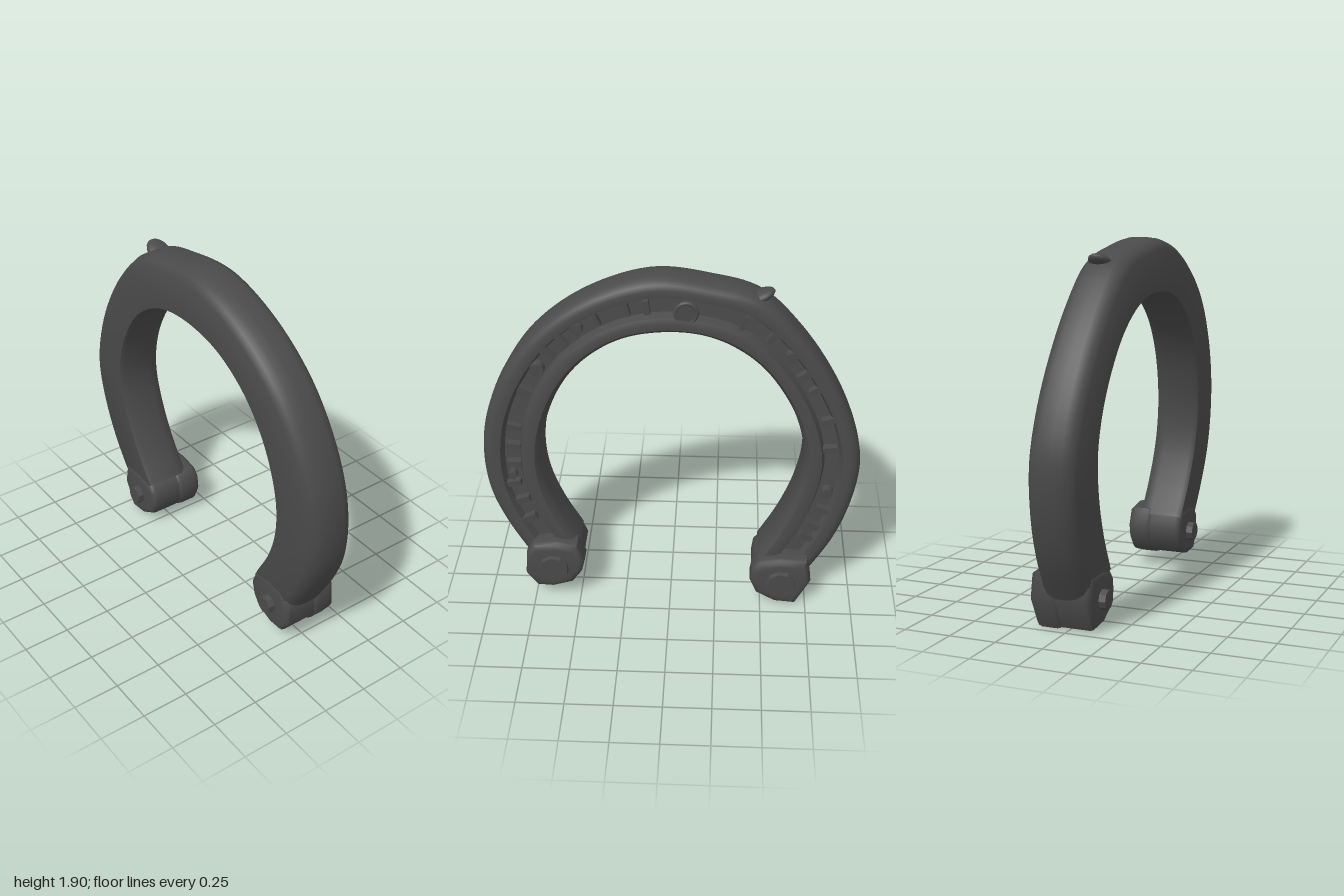
import * as THREE from 'three';
import { toCreasedNormals } from 'three/addons/utils/BufferGeometryUtils.js';

const iron = new THREE.MeshStandardMaterial({ color: 0x4a4a4a });
iron.name = 'dark iron';

// the shoe leans slightly: x of its mid-plane at height y
const leanX = (y) => 0.005 - 0.05 * y;

// matching [z, y] points along the outer and inner edges
const OUTER = [[.74, .17], [.9, .45], [.98, .66], [1, .87], [.97, 1.1], [.87, 1.35], [.7, 1.59], [.43, 1.79], [.1, 1.9],
  [-.2, 1.87], [-.45, 1.8], [-.66, 1.6], [-.85, 1.32], [-.96, 1.07], [-1, .87], [-.97, .62], [-.89, .39], [-.74, .13]];
const INNER = [[.5, .32], [.6, .5], [.67, .69], [.69, .87], [.665, 1.05], [.585, 1.26], [.45, 1.44], [.26, 1.565], [.05, 1.61],
  [-.15, 1.6], [-.31, 1.54], [-.47, 1.42], [-.61, 1.22], [-.68, 1.04], [-.7, .87], [-.66, .66], [-.58, .46], [-.48, .28]];

// cross-section: [fraction from outer to inner edge, x offset], with a groove on the +x face
const PROFILE = [[.2, -.125], [.08, -.1], [.02, -.06], [0, -.01], [0, .06], [.03, .09], [.09, .11], [.18, .12], [.31, .115],
  [.37, .075], [.63, .075], [.68, .12], [.78, .13], [.9, .125], [.97, .1], [1, .06], [1, -.1], [.95, -.125]];

function mesh(name, geometry) {
  const m = new THREE.Mesh(geometry, iron);
  m.name = name;
  return m;
}

function shoeGeometry(steps = 120) {
  const curve = (pts) => new THREE.CatmullRomCurve3(pts.map(([z, y]) => new THREE.Vector3(0, y, z)));
  const outer = curve(OUTER), inner = curve(INNER);
  const pos = [], index = [], n = PROFILE.length;
  for (let i = 0; i <= steps; i++) {
    const a = outer.getPoint(i / steps), b = inner.getPoint(i / steps);
    for (const [f, x] of PROFILE) {
      const p = a.clone().lerp(b, f);
      pos.push(leanX(p.y) + x, p.y, p.z);
    }
    if (i === steps) break;
    for (let j = 0; j < n; j++) {
      const p = i * n + j, q = i * n + (j + 1) % n;
      index.push(p, q, p + n, q, q + n, p + n);
    }
  }
  const g = new THREE.BufferGeometry();
  g.setAttribute('position', new THREE.Float32BufferAttribute(pos, 3));
  g.setIndex(index);
  return toCreasedNormals(g, 0.7);
}

// bevelled prism along x from a [z, y] outline, scaled about its centre
function prism(outline, centre, scale, x0, x1, bevel) {
  const [cz, cy] = centre;
  const shape = new THREE.Shape(outline.map(([z, y]) =>
    new THREE.Vector2(-(cz + (z - cz) * scale), cy + (y - cy) * scale)));
  const g = new THREE.ExtrudeGeometry(shape, {
    depth: x1 - x0 - 2 * bevel, bevelThickness: bevel, bevelSize: bevel, bevelOffset: -bevel, bevelSegments: 3,
  });
  g.rotateY(Math.PI / 2).translate(x0 + bevel, 0, 0);
  return toCreasedNormals(g, 0.85);
}

// short rounded disc facing along x
function disc(r, x0, x1, z, y, sides = 20) {
  const g = new THREE.CylinderGeometry(r * 0.9, r, x1 - x0, sides);
  g.rotateZ(-Math.PI / 2).translate((x0 + x1) / 2, y, z);
  return toCreasedNormals(g, 0.6);
}

// heavy nut-shaped end with a bolt through it
function endNut(name, outline, centre, topX) {
  const group = new THREE.Group();
  group.name = name;
  const [z, y] = centre;
  group.add(mesh('nutBody', prism(outline, centre, 0.95, -0.14, 0.12, 0.03)));
  group.add(mesh('nutFlange', prism(outline, centre, 1, 0.03, topX, 0.035)));
  group.add(mesh('boltHead', disc(0.088, topX - 0.02, topX + 0.025, z, y, 9)));
  const tail = disc(0.055, 0.12, 0.175, -z, y, 9);
  tail.rotateY(Math.PI);
  group.add(mesh('boltTail', tail));
  return group;
}

// [z, y, radius] of round studs and [z, y, thickness] of bars in the groove
const STUDS = [[.685, 1.396, .04], [.476, 1.626, .034], [-.61, 1.497, .034], [-.834, .695, .032], [.845, .76, .025]];
const BARS = [[.754, 1.262, .04], [.626, 1.487, .04], [.55, 1.556, .03], [.374, 1.684, .02], [.22, 1.743, .02],
  [.123, 1.754, .03], [-.364, 1.68, .025], [-.51, 1.604, .035], [-.68, 1.39, .04], [-.743, 1.31, .035],
  [-.818, 1.134, .03], [-.834, .963, .03], [-.813, .583, .035], [-.77, .48, .03], [-.738, .406, .03],
  [.824, 1.053, .03], [.834, .94, .03], [.834, .83, .03], [.84, .705, .03], [.797, .6, .035], [.765, .48, .04]];

export function createModel() {
  const model = new THREE.Group();
  model.name = 'horseshoe';
  model.add(mesh('shoe', shoeGeometry()));

  // nails in the groove
  const nails = new THREE.Group();
  nails.name = 'nails';
  for (const [z, y, r] of STUDS) {
    nails.add(mesh('roundStud', disc(r, leanX(y) + 0.06, leanX(y) + 0.12, z, y)));
  }
  for (const [z, y, t] of BARS) {
    const bar = mesh('barNail', new THREE.BoxGeometry(0.05, t, 0.075));
    bar.position.set(leanX(y) + 0.09, y, z);
    bar.rotation.x = -Math.atan2(y - 0.87, z);
    nails.add(bar);
  }
  model.add(nails);

  // large stud at the crown, with a raised rim
  const cx = leanX(1.733);
  model.add(mesh('crownStud', disc(0.05, cx + 0.06, cx + 0.125, -0.075, 1.733)));
  const rim = mesh('crownRim', new THREE.TorusGeometry(0.053, 0.011, 8, 28));
  rim.rotation.y = Math.PI / 2;
  rim.position.set(cx + 0.115, 1.733, -0.075);
  model.add(rim);

  // shallow dent-like bump on the outer edge
  const bump = mesh('edgeBump', new THREE.SphereGeometry(1, 16, 12));
  bump.scale.set(0.06, 0.03, 0.08);
  bump.rotation.x = 0.45;
  bump.position.set(-0.06, 1.79, -0.44);
  model.add(bump);

  model.add(endNut('frontEnd', [[.79, .29], [.75, .35], [.62, .37], [.51, .35], [.47, .25], [.49, .17], [.54, .1],
    [.65, .065], [.74, .07], [.8, .155]], [.64, .21], 0.175));
  model.add(endNut('backEnd', [[-.49, .28], [-.6, .3], [-.75, .295], [-.775, .155], [-.695, 0], [-.58, .01],
    [-.475, .07], [-.44, .15], [-.45, .23]], [-.61, .15], 0.185));
  return model;
}
